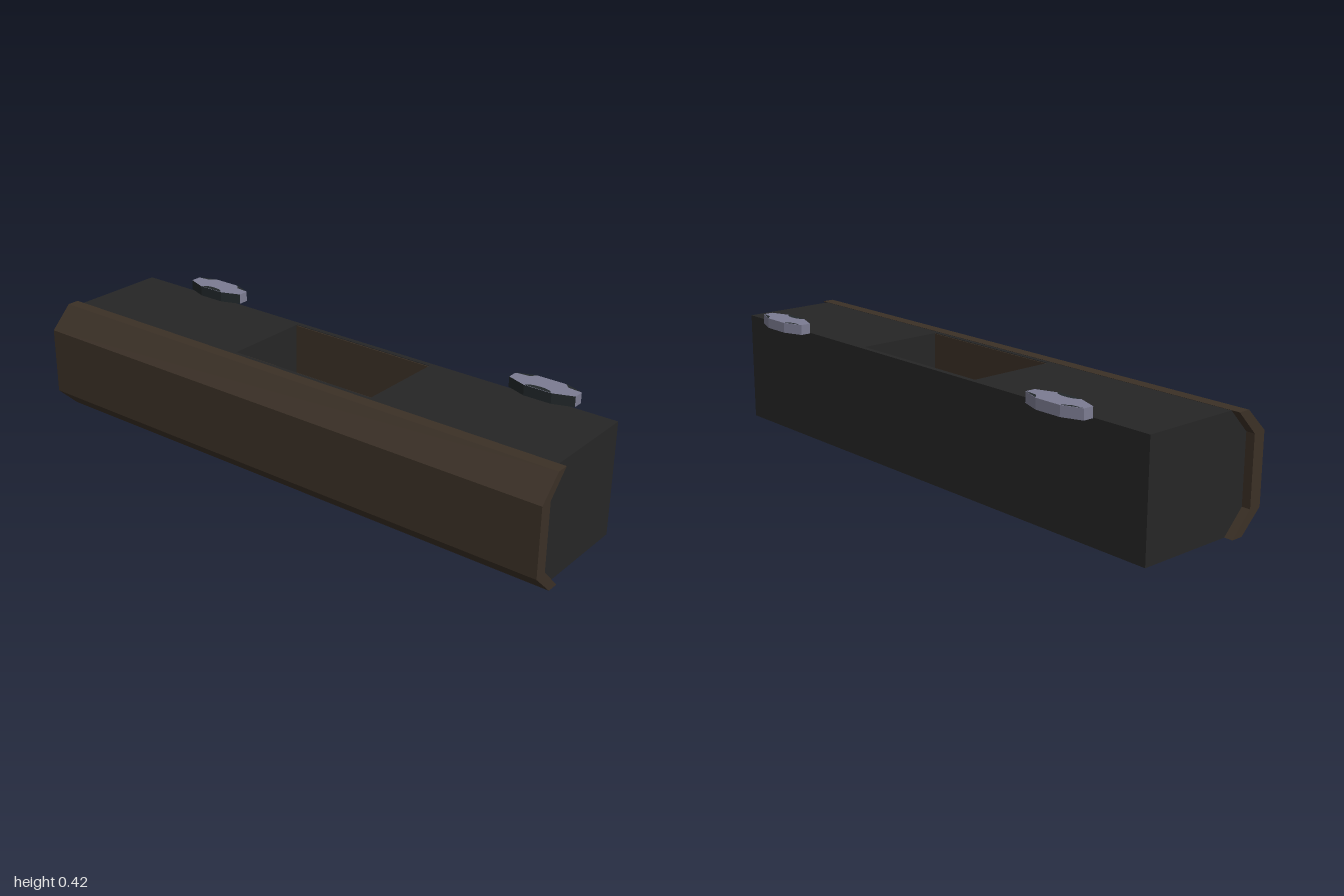
import * as THREE from 'three';

const material = (name, color) => {
  const m = new THREE.MeshStandardMaterial({ color });
  m.name = name;
  return m;
};

export function createModel() {
  const group = new THREE.Group();
  const black = material('matte black', 0x262626);
  const brown = material('dark brown', 0x3b3026);
  const grey = material('lug grey', 0x7c7c92);
  const slate = material('dark slate', 0x22282a);

  const add = (name, geometry, mat, x = 0, y = 0, z = 0) => {
    const mesh = new THREE.Mesh(geometry, mat);
    mesh.name = name;
    mesh.position.set(x, y, z);
    group.add(mesh);
    return mesh;
  };

  // Sweeps a [z, y] cross-section along x from x0 to x1
  const sweep = (points, x0, x1) => {
    const shape = new THREE.Shape(points.map(([z, y]) => new THREE.Vector2(-z, y)));
    return new THREE.ExtrudeGeometry(shape, { depth: x1 - x0, bevelEnabled: false })
      .rotateY(Math.PI / 2).translate(x0, 0, 0);
  };

  const top = 0.385, back = -0.198;
  const pocket = { x0: -0.245, x1: 0.31, z0: -0.18, z1: 0.13, floor: 0.02 };
  const nose = [[0.15, 0], [0.222, 0.075], [0.222, 0.31], [0.15, top]];

  // Body: two solid ends and a hollow middle
  const solid = [[back, 0], ...nose, [back, top]];
  const hollow = [[back, 0], ...nose, [pocket.z1, top], [pocket.z1, pocket.floor],
    [pocket.z0, pocket.floor], [pocket.z0, top], [back, top]];
  add('bodyRight', sweep(solid, -0.97, pocket.x0), black);
  add('bodyMiddle', sweep(hollow, pocket.x0, pocket.x1), black);
  add('bodyLeft', sweep(solid, pocket.x1, 0.975), black);

  // Brown lining on the long walls of the pocket
  const width = pocket.x1 - pocket.x0, midX = (pocket.x0 + pocket.x1) / 2;
  const wallHeight = top - pocket.floor - 0.002;
  for (const [name, z] of [['pocketBackLining', pocket.z0 + 0.002], ['pocketFrontLining', pocket.z1 - 0.002]]) {
    add(name, new THREE.BoxGeometry(width, wallHeight, 0.004), brown, midX, pocket.floor + wallHeight / 2, z);
  }

  // Brown arc on the pocket floor
  const arc = new THREE.CircleGeometry(1, 24, 0, Math.PI).scale(0.25, 0.05, 1).rotateX(-Math.PI / 2);
  add('pocketFloorArc', arc, brown, midX + 0.012, pocket.floor + 0.004, pocket.z1 - 0.003);

  // Folded front cover, slightly wider than the body
  add('frontCover', sweep([[0.187, 0], [0.265, 0.075], [0.265, 0.31], [0.187, top + 0.001],
    [0.145, top + 0.001], [0.22, 0.308], [0.22, 0.077], [0.145, 0]], -1, 1), brown);

  // Flattened eight-sided lugs on the back edge, dark on their front faces
  const radius = 1 / Math.cos(Math.PI / 8);
  let lug = new THREE.CylinderGeometry(radius, radius, 0.035, 8)
    .rotateY(-Math.PI / 8).scale(0.117, 1, 0.0435).toNonIndexed();
  lug.computeVertexNormals();
  lug.clearGroups();
  lug.addGroup(0, 12, 1);
  lug.addGroup(12, 30, 0);
  lug.addGroup(42, 6, 1);
  lug.addGroup(48, lug.attributes.position.count - 48, 0);

  // Dark worn marks on the lug tops
  const frontMark = new THREE.CircleGeometry(1, 12, 0, Math.PI)
    .scale(0.045, 0.018, 1).rotateX(-Math.PI / 2);
  const cornerMark = (s) => {
    const pts = [[0.117, 0.018], [0.048, 0.0435], [0.07, 0.022]]
      .map(([x, z]) => new THREE.Vector2(s * x, z));
    return new THREE.ShapeGeometry(new THREE.Shape(pts)).rotateX(-Math.PI / 2);
  };
  for (const [side, x] of [['right', -0.647], ['left', 0.71]]) {
    const z = -0.2215;
    add(side + 'Lug', lug, [grey, slate], x, top + 0.0175, z);
    add(side + 'LugFrontMark', frontMark, slate, x, 0.421, z + 0.0433);
    for (const s of [-1, 1]) add(side + 'LugCornerMark', cornerMark(s), slate, x, 0.421, z);
  }
  return group;
}
